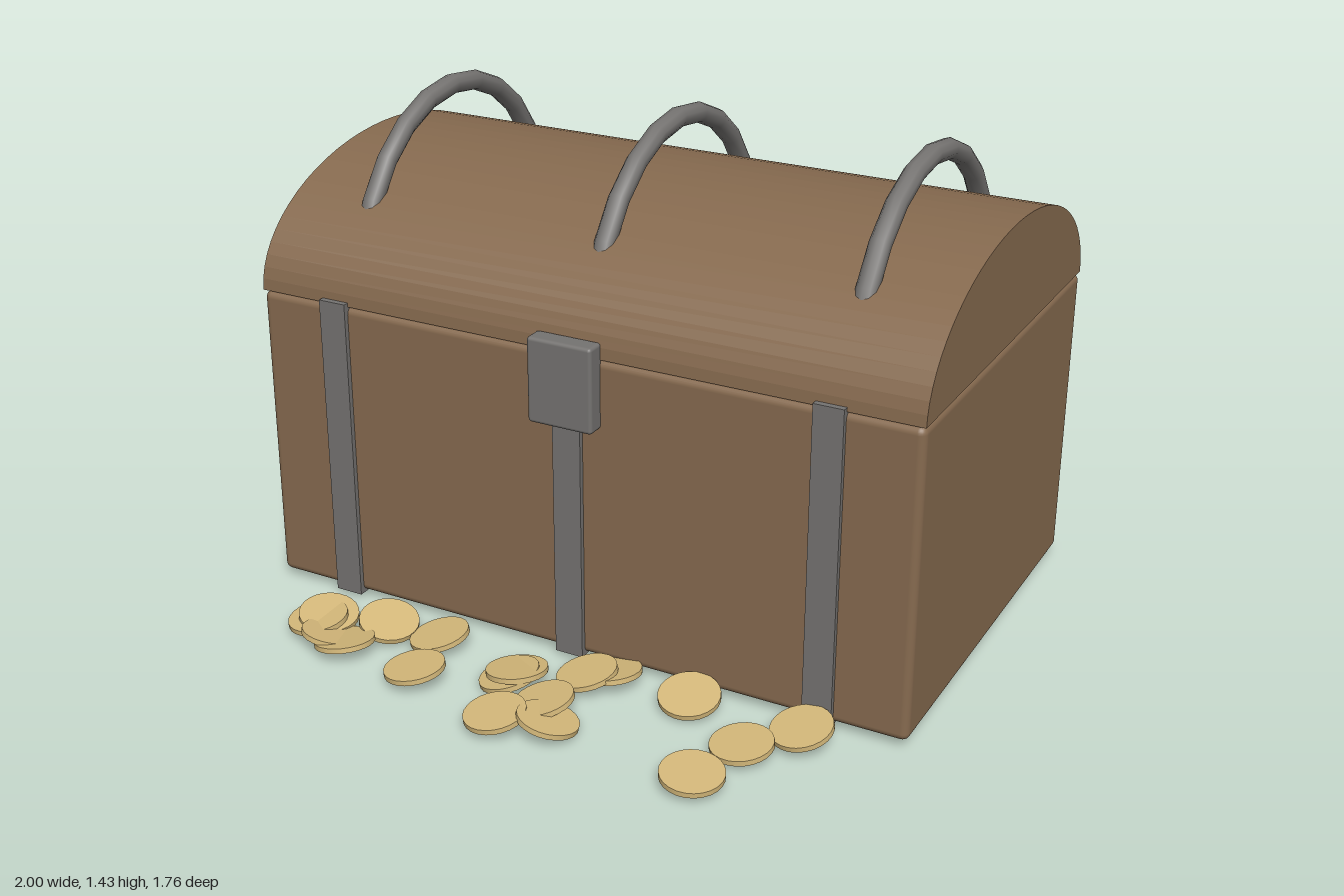
import * as THREE from 'three';
import { RoundedBoxGeometry } from 'three/addons/geometries/RoundedBoxGeometry.js';

const mat = (name, color) => {
  const m = new THREE.MeshStandardMaterial({ color });
  m.name = name;
  return m;
};

export function createModel() {
  const chest = new THREE.Group();
  chest.name = 'treasureChest';
  const wood = mat('wood', 0x866a4f);
  const iron = mat('iron', 0x757371);
  const gold = mat('gold', 0xd4b87a);

  const add = (name, geometry, material, x, y, z) => {
    const mesh = new THREE.Mesh(geometry, material);
    mesh.name = name;
    mesh.position.set(x, y, z);
    chest.add(mesh);
    return mesh;
  };
  const midZ = -0.24;

  // Wooden body with softly rounded edges
  add('body', new RoundedBoxGeometry(2, 0.895, 1.25, 3, 0.022), wood, 0, 0.4825, midZ);

  // Domed lid: half ellipse extruded along the width
  const dome = new THREE.Shape();
  dome.absellipse(0, 0, 0.623, 0.34, 0, Math.PI, false, 0);
  dome.closePath();
  const lidGeometry = new THREE.ExtrudeGeometry(dome, { depth: 2, bevelEnabled: false, curveSegments: 16 });
  lidGeometry.rotateY(-Math.PI / 2);
  add('lid', lidGeometry, wood, 1, 0.932, midZ);

  // Iron straps wrapping the body, and hoops arching over the lid
  const strapGeometry = new THREE.BoxGeometry(0.085, 0.915, 1.28);
  const hoopGeometry = new THREE.TorusGeometry(0.485, 0.03, 10, 12, Math.PI);
  for (const x of [-0.75, 0, 0.75]) {
    add('strap', strapGeometry, iron, x, 0.4865, midZ);
    add('hoop', hoopGeometry, iron, x, 0.932, midZ).rotation.y = Math.PI / 2;
  }

  // Lock plate
  add('lock', new RoundedBoxGeometry(0.195, 0.245, 0.06, 2, 0.01), iron, 0, 0.857, 0.405);

  // Spilled coins: x, y, z, tilt about x, tilt about z
  const coinGeometry = new THREE.CylinderGeometry(0.086, 0.086, 0.015, 24);
  const coins = [
    [-0.69, 0.06, 0.58, 0.12, -0.15], [-0.71, 0.055, 0.605, 0.1, 0.1],
    [-0.63, 0.05, 0.65, -0.2, -0.12], [-0.575, 0.05, 0.665, -0.1, 0.15],
    [-0.52, 0.055, 0.525, 0.15, -0.22], [-0.355, 0.05, 0.515, 0.1, 0.2],
    [-0.315, 0.055, 0.7, 0.05, 0.14], [-0.06, 0.058, 0.58, -0.1, 0.12],
    [-0.075, 0.045, 0.595, 0.1, 0.25], [0.08, 0.055, 0.675, 0.1, 0.22],
    [0.135, 0.05, 0.745, -0.15, -0.2], [0, 0.055, 0.79, 0.12, 0.1],
    [0.115, 0.055, 0.5, 0.1, 0.2], [0.165, 0.05, 0.455, -0.1, 0.15],
    [0.41, 0.05, 0.465, 0.22, -0.04], [0.63, 0.045, 0.6, 0.08, 0.08],
    [0.58, 0.05, 0.785, 0.08, -0.06], [0.745, 0.06, 0.48, 0.2, 0.13],
  ];
  for (const [x, y, z, rx, rz] of coins) {
    add('coin', coinGeometry, gold, x, y, z).rotation.set(rx, 0, rz);
  }

  return chest;
}
